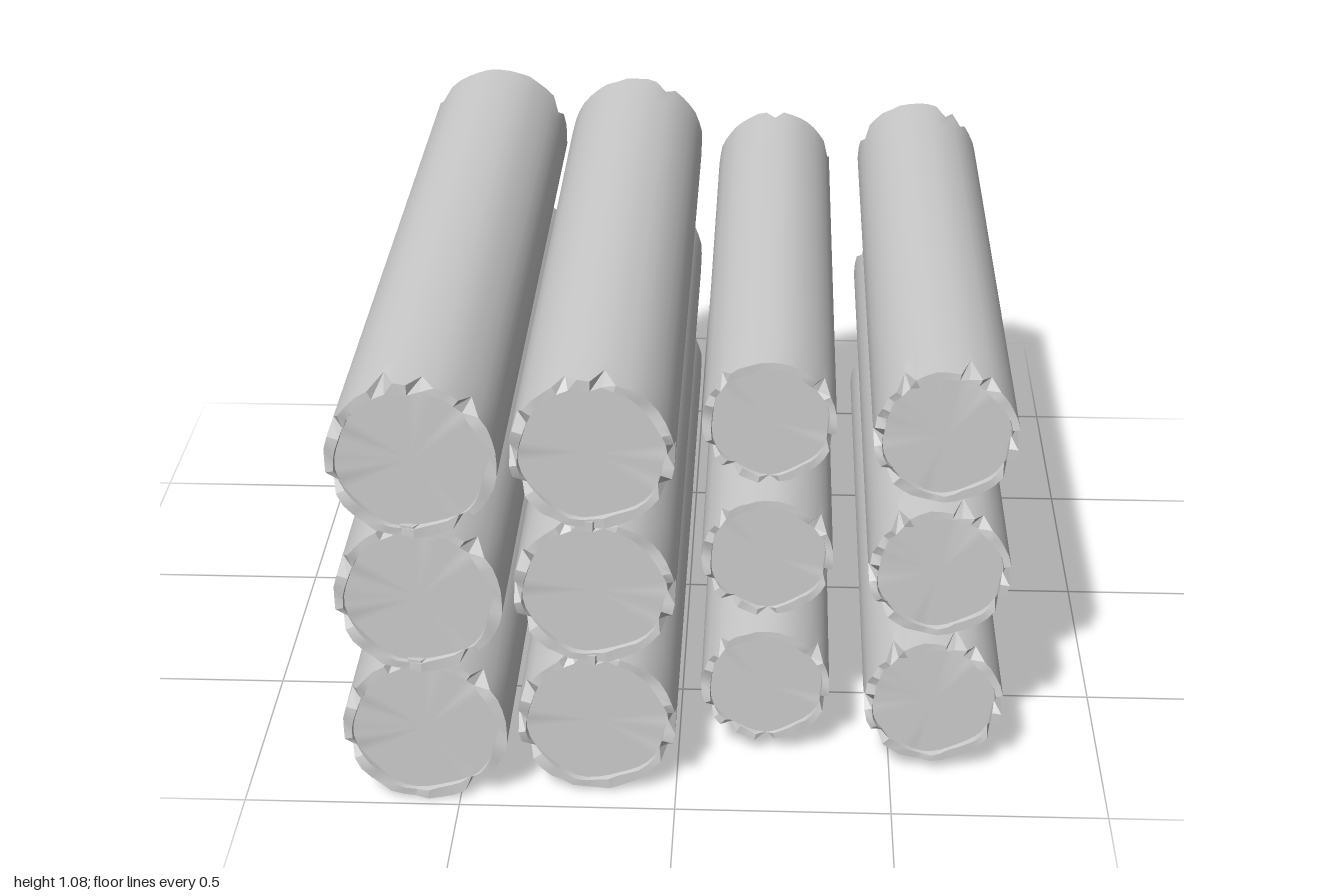
import * as THREE from 'three';
import { toCreasedNormals } from 'three/addons/utils/BufferGeometryUtils.js';

const SIDES = 40;

// One entry per column of logs; notch angles are in degrees, seen from the front.
const COLUMNS = [
  { x: -0.574, r: 0.191, back: -0.985, front: 0.975, frontNotches: [155, 195, 110, 78, 42, -50], backNotches: [140, 25, -20, -70, 200, 250] },
  { x: -0.183, r: 0.185, back: -0.945, front: 0.93, frontNotches: [150, 180, 210, 105, 85, 0, -25], backNotches: [65, -10, -60, 170, 230] },
  { x: 0.205, r: 0.152, back: -0.78, front: 0.768, frontNotches: [135, 35, -20, -90, -130, -150], backNotches: [90, 20, -40, 190, 240] },
  { x: 0.597, r: 0.163, back: -0.835, front: 0.822, frontNotches: [180, 130, 75, 55, 0, -28, 215], backNotches: [45, 62, -62, 150, 235] },
];
const ROWS = [0.195, 0.545, 0.895];

// small seeded generator
function seeded(seed) {
  let s = seed;
  return () => (s = (s * 16807) % 2147483647) / 2147483647;
}

// Log end: cut face, recessed a little, inside a chipped bark rim.
// dir is +1 at the front and -1 at the back; rings run from the middle outwards.
function endRings({ r }, z, dir, notches, outline, random) {
  const cut = z - dir * 0.012;
  const chip = Array.from({ length: SIDES }, () => (random() - 0.5) * 0.018);
  const depth = new Array(SIDES).fill(0);
  notches.forEach((deg, k) => {
    const i = ((Math.round((deg / 360) * SIDES) % SIDES) + SIDES) % SIDES;
    depth[i] = 0.045 + 0.015 * (k % 3);
  });
  const ring = (radius, zAt) => Array.from({ length: SIDES }, (_, i) => {
    const a = (i / SIDES) * Math.PI * 2;
    return [Math.cos(a) * radius(i), Math.sin(a) * radius(i), zAt(i)];
  });
  const wave = (i) => 0.012 * Math.sin(i * 0.9 + r * 40);
  return [
    ring((i) => outline[i] * r, () => z - dir * 0.13),
    ring((i) => outline[i] * r, (i) => z + dir * (chip[i] * 0.6 - depth[i])),
    ring((i) => r * (0.875 + wave(i) * 2), (i) => (depth[i] ? cut : z + dir * chip[i] * 0.6)),
    ring((i) => r * (0.865 + wave(i) * 2), () => cut),
    ring(() => 0, () => cut),
  ];
}

// Skin a list of rings ordered from back to front.
function logGeometry(col, seed) {
  const random = seeded(seed);
  const outline = Array.from({ length: SIDES }, () => 0.985 + random() * 0.015);
  const rings = [
    ...endRings(col, col.back, -1, col.backNotches, outline, random).reverse(),
    ...endRings(col, col.front, 1, col.frontNotches, outline, random),
  ];
  const index = [];
  for (let k = 0; k < rings.length - 1; k++) {
    for (let i = 0; i < SIDES; i++) {
      const j = (i + 1) % SIDES;
      const a = k * SIDES + i, b = k * SIDES + j;
      const c = b + SIDES, d = a + SIDES;
      if (k > 0) index.push(a, b, c); // back ring 0 is a single point
      else index.push(a, c, d);
      if (k > 0 && k < rings.length - 2) index.push(a, c, d);
    }
  }
  const geometry = new THREE.BufferGeometry();
  geometry.setAttribute('position', new THREE.Float32BufferAttribute(rings.flat(2), 3));
  geometry.setIndex(index);
  return toCreasedNormals(geometry, 0.45);
}

export function createModel() {
  const model = new THREE.Group();
  model.name = 'logStack';
  const bark = new THREE.MeshStandardMaterial({ color: 0xcccccc });

  // each column repeats one log on three levels
  COLUMNS.forEach((col, c) => {
    const geometry = logGeometry(col, 1234 + c * 777);
    const column = new THREE.Group();
    column.name = `logColumn${c + 1}`;
    ROWS.forEach((y, level) => {
      const log = new THREE.Mesh(geometry, bark);
      log.name = `log${level + 1}`;
      log.position.set(col.x, y, 0);
      column.add(log);
    });
    model.add(column);
  });
  return model;
}
